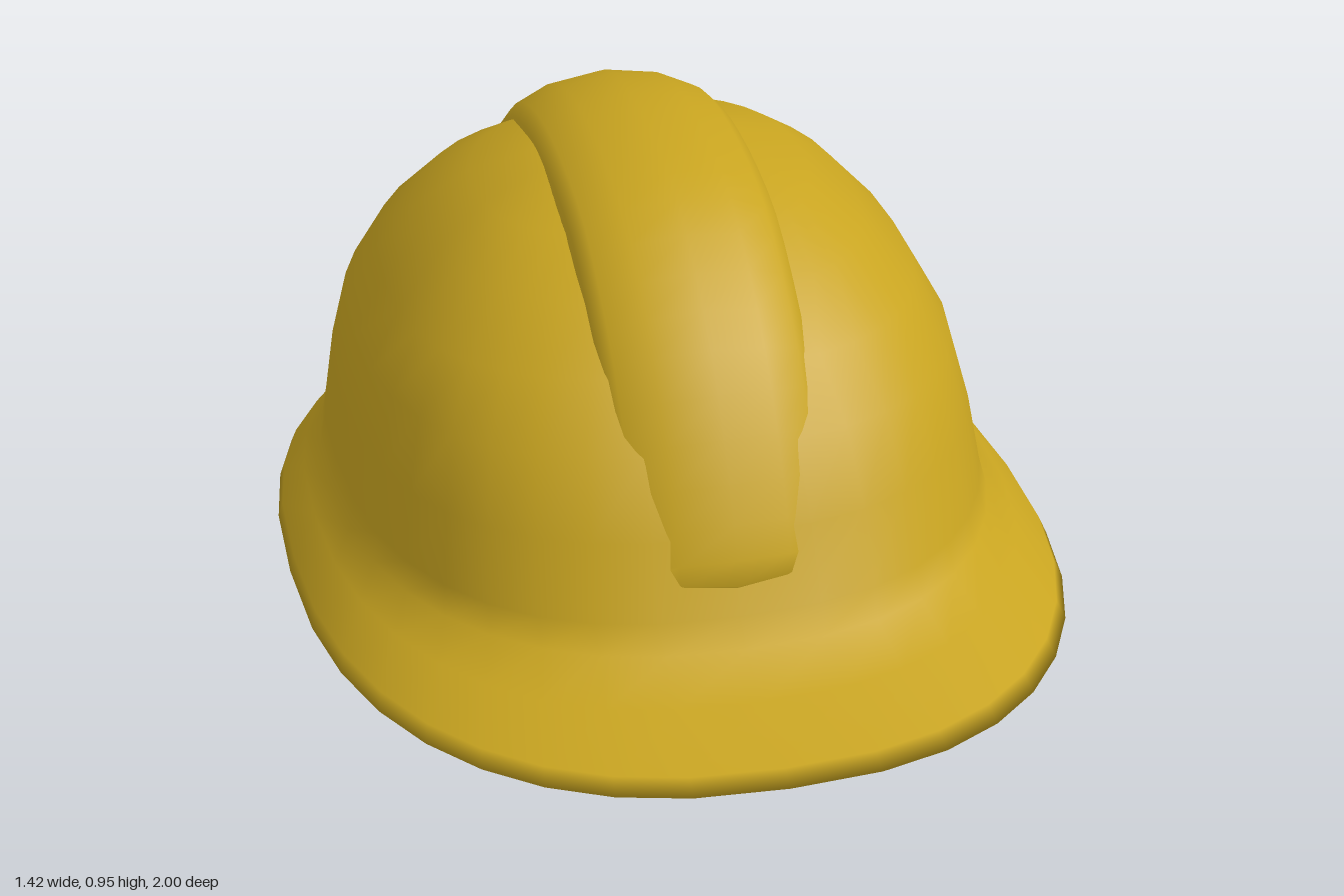
import * as THREE from 'three';

const yellow = new THREE.MeshStandardMaterial({ color: 0xc8a420 });

// Skin a grid of points (rows of equal length); closed joins the last column to the first
function skin(name, rows, closed) {
  const n = rows[0].length, index = [];
  for (let i = 0; i < rows.length - 1; i++) {
    for (let j = 0; j < (closed ? n : n - 1); j++) {
      const a = i * n + j, b = i * n + (j + 1) % n;
      index.push(a, a + n, b, b, a + n, b + n);
    }
  }
  const g = new THREE.BufferGeometry();
  g.setAttribute('position', new THREE.Float32BufferAttribute(rows.flat(2), 3));
  g.setIndex(index);
  g.computeVertexNormals();
  const mesh = new THREE.Mesh(g, yellow);
  mesh.name = name;
  return mesh;
}

// Oval ring through a front, a back and a side point, tilted to suit all three
function ring([zf, yf, zb, yb, xs, ys], power, segments = 36) {
  const zc = (zf + zb) / 2, half = (zf - zb) / 2;
  const round = (v) => Math.sign(v) * Math.pow(Math.abs(v), 2 / power);
  return Array.from({ length: segments }, (_, j) => {
    const t = (j / segments) * Math.PI * 2;
    const u = round(Math.sin(t));
    const y = ys + ((yf - yb) / 2) * u + ((yf + yb) / 2 - ys) * u * u;
    return [xs * round(Math.cos(t)), y, zc + half * u];
  });
}

export function createModel() {
  const group = new THREE.Group();
  group.name = 'hardHat';

  // Brim and dome: front z, front y, back z, back y, side x, side y
  const brim = [
    [0.93, 0.243, -0.95, 0.006, 0.67, 0.125],
    [1.0, 0.262, -1.0, 0.008, 0.71, 0.135],
    [0.96, 0.275, -0.985, 0.025, 0.7, 0.16],
    [0.8, 0.295, -0.94, 0.075, 0.65, 0.21],
    [0.69, 0.33, -0.905, 0.12, 0.612, 0.245],
  ];
  const dome = [
    [0.645, 0.37, -0.885, 0.18, 0.598, 0.3],
    [0.585, 0.5, -0.85, 0.33, 0.58, 0.42],
    [0.5, 0.62, -0.785, 0.49, 0.55, 0.55],
    [0.4, 0.72, -0.69, 0.63, 0.49, 0.66],
    [0.28, 0.8, -0.59, 0.73, 0.4, 0.76],
    [0.14, 0.86, -0.45, 0.82, 0.31, 0.83],
    [0.0, 0.885, -0.29, 0.875, 0.19, 0.88],
    [-0.13, 0.892, -0.15, 0.892, 0.01, 0.892],
  ];
  const rings = [...brim.map((r) => ring(r, 2.4)), ...dome.map((r) => ring(r, 2.5))];
  group.add(skin('shell', rings, true));

  // Flat underside
  const centre = rings[0].map(() => [0, 0.125, 0]);
  group.add(skin('underside', [centre, rings[0]], true));

  // Raised ridge over the crown, swept from front to back; its edges sink into the dome
  const path = new THREE.CatmullRomCurve3([
    [0.59, 0.385], [0.628, 0.42], [0.59, 0.52], [0.51, 0.65], [0.41, 0.77], [0.29, 0.86],
    [0.15, 0.93], [0, 0.955], [-0.16, 0.955], [-0.3, 0.935], [-0.46, 0.88], [-0.6, 0.79],
    [-0.7, 0.68], [-0.8, 0.53], [-0.87, 0.36], [-0.898, 0.2], [-0.86, 0.14],
  ].map(([z, y]) => new THREE.Vector3(0, y, z)));
  const halfSection = [[0.195, 0.1], [0.188, 0.07], [0.165, 0.045], [0.1, 0.015]];
  const section = [...halfSection, [0, 0], ...halfSection.map(([x, d]) => [-x, d]).reverse()];
  const steps = 32;
  const ridge = Array.from({ length: steps + 1 }, (_, i) => {
    const p = path.getPoint(i / steps), t = path.getTangent(i / steps);
    const width = i === 0 || i === steps ? 0.85 : 1;
    // Inward normal of the path is (t.z, -t.y) in the y-z plane
    return section.map(([x, d]) => [x * width, p.y + t.z * d, p.z - t.y * d]);
  });
  group.add(skin('crownRidge', ridge, false));

  return group;
}
